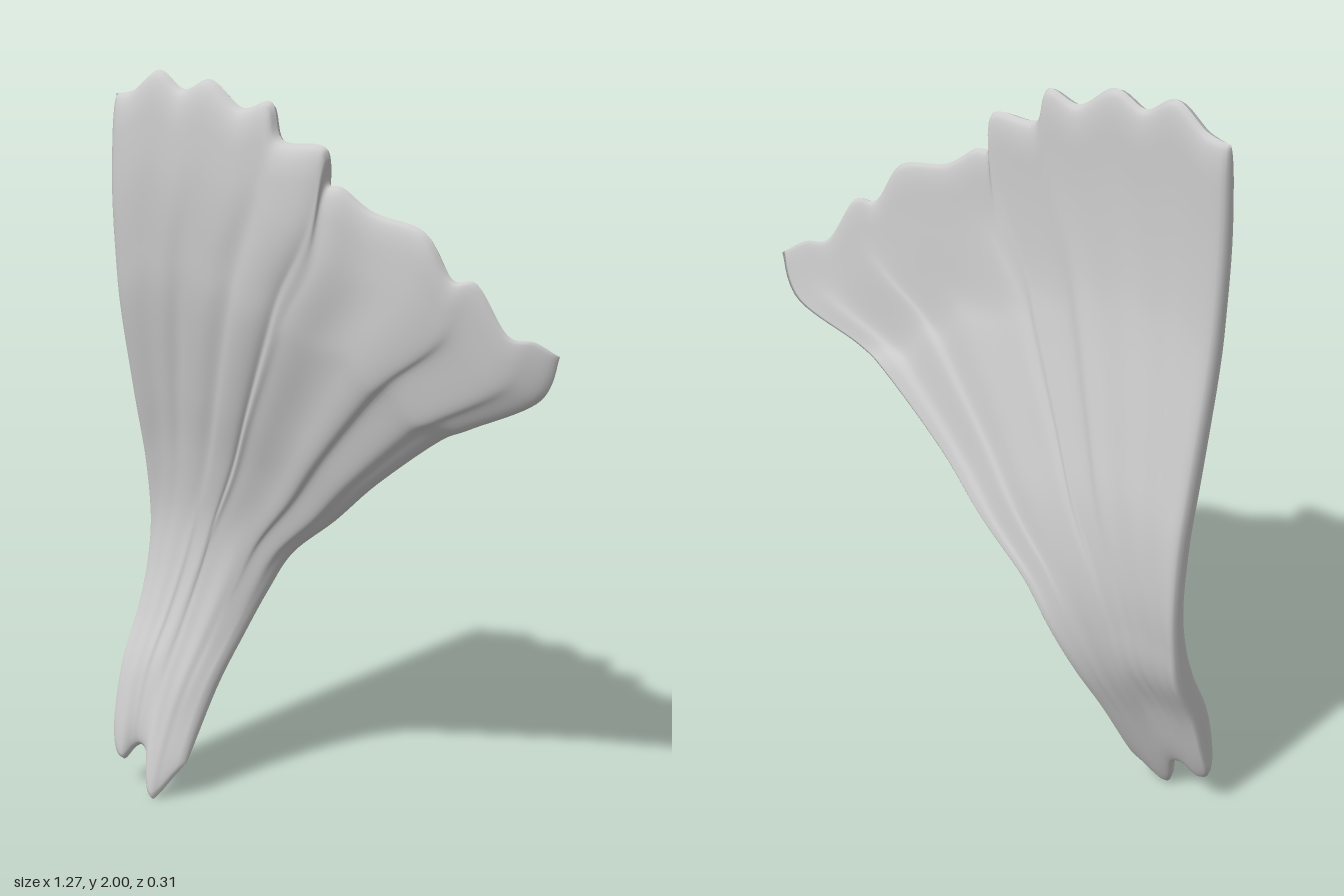
import * as THREE from 'three';

const spline = (pts) => new THREE.SplineCurve(pts.map(([a, b]) => new THREE.Vector2(a, b)));

// Outline: four edges, each running upward or from -x to +x
const LEFT = spline([[-.63, .15], [-.635, .35], [-.635, .5], [-.635, .62], [-.635, .75], [-.635, .92],
  [-.635, 1.1], [-.635, 1.35], [-.635, 1.5], [-.635, 1.7], [-.63, 1.93]]);
const RIGHT = spline([[-.4, .1], [-.375, .3], [-.335, .45], [-.28, .58], [-.2, .7], [-.05, .82],
  [.1, .95], [.3, 1.1], [.4, 1.15], [.575, 1.24], [.63, 1.36]]);
const TOP = spline([[-.63, 1.93], [-.56, 1.945], [-.475, 2], [-.39, 1.955], [-.3, 1.985], [-.2, 1.92],
  [-.11, 1.94], [-.075, 1.85], [.04, 1.845], [.065, 1.82], [.06, 1.75], [.1, 1.74], [.18, 1.685],
  [.32, 1.65], [.39, 1.54], [.45, 1.53], [.52, 1.41], [.58, 1.395], [.63, 1.36]]);
const BOTTOM = spline([[-.63, .15], [-.615, .105], [-.585, .085], [-.56, .12], [-.54, .13], [-.515, .11],
  [-.49, .03], [-.47, 0], [-.45, .02], [-.42, .07], [-.4, .1]]);

// Depth up the straight edge (front, back) and up the flared edge (front, back)
const DEPTH_LEFT = spline([[.14, .09], [.09, .02], [.02, -.06], [-.02, -.085], [-.035, -.095], [-.015, -.085],
  [.025, -.05], [.075, 0], [.09, .02], [.098, .03], [.085, .03]]);
const DEPTH_RIGHT = spline([[.1, .07], [0, -.035], [-.08, -.11], [-.125, -.15], [-.135, -.157], [-.13, -.15],
  [-.11, -.13], [-.1, -.12], [-.1, -.115], [-.14, -.158], [-.145, -.155]]);

const lerp = THREE.MathUtils.lerp;
const round = (d, width) => Math.sqrt(1 - (1 - Math.min(1, d / width)) ** 2);

// Point on the sheet; side is +1 for the front and -1 for the back
function sheetPoint(u, v, side) {
  const l = LEFT.getPoint(v), r = RIGHT.getPoint(v);
  const t = TOP.getPoint(u), b = BOTTOM.getPoint(u);
  const up = v ** 1.2, down = (1 - v) ** 6;
  const dropY = down * (b.y - lerp(.15, .1, u));
  const x = lerp(l.x, r.x, u) + up * (t.x - lerp(-.63, .63, u)) + down * (b.x - lerp(-.63, -.4, u));
  const y = lerp(l.y, r.y, u) + up * (t.y - lerp(1.93, 1.36, u)) + dropY;

  const dl = DEPTH_LEFT.getPoint(v), dr = DEPTH_RIGHT.getPoint(v);
  let front = lerp(dl.x, dr.x, u ** lerp(2.6, 3.4, v));
  let back = lerp(dl.y, dr.y, u ** lerp(1.3, 3.6, v));
  // shallow folds fanning out from the stem, plus one stronger ridge
  const flare = THREE.MathUtils.smoothstep(v, .3, .8) * Math.sin(Math.PI * u);
  front += flare * (.005 * Math.sin(u * 34) + .003 * Math.sin(u * 57 + 4 * v));
  front -= .014 * Math.exp(-(((u - .2) / .035) ** 2)) * Math.exp(-(((v - .68) / .16) ** 2));
  back += flare * .004 * Math.sin(u * 15);
  front = Math.max(front, back + .015);

  // the two faces meet in a rounded rim
  const mid = lerp(back, front, .4);
  const rim = round(u, .05) * round(1 - u, .08) * round(v, .06) * round(1 - v, .05);
  const z = mid + ((side > 0 ? front : back) - mid) * rim - .45 * dropY;
  return [x, y, z];
}

// Closed cross-section loops stacked from the stem to the fringe
function sheetGeometry(nu, nv) {
  const positions = [], indices = [], ring = nu * 2;
  for (let j = 0; j <= nv; j++) {
    const v = .5 * (j / nv) + .25 * (1 - Math.cos(Math.PI * j / nv));
    for (let i = 0; i < ring; i++) {
      const u = i <= nu ? i / nu : (ring - i) / nu;
      positions.push(...sheetPoint(u, v, i <= nu ? 1 : -1));
    }
  }
  for (let j = 0; j < nv; j++) {
    for (let i = 0; i < ring; i++) {
      const a = j * ring + i, b = j * ring + (i + 1) % ring;
      indices.push(a, b, b + ring, a, b + ring, a + ring);
    }
  }
  const geometry = new THREE.BufferGeometry();
  geometry.setAttribute('position', new THREE.Float32BufferAttribute(positions, 3));
  geometry.setIndex(indices);
  geometry.computeVertexNormals();
  return geometry;
}

export function createModel() {
  const group = new THREE.Group();
  group.name = 'fanShapedPlate';
  const material = new THREE.MeshStandardMaterial({ color: 0xcccccc, side: THREE.DoubleSide });
  const blade = new THREE.Mesh(sheetGeometry(108, 90), material);
  blade.name = 'flaredBlade';
  group.add(blade);
  return group;
}
